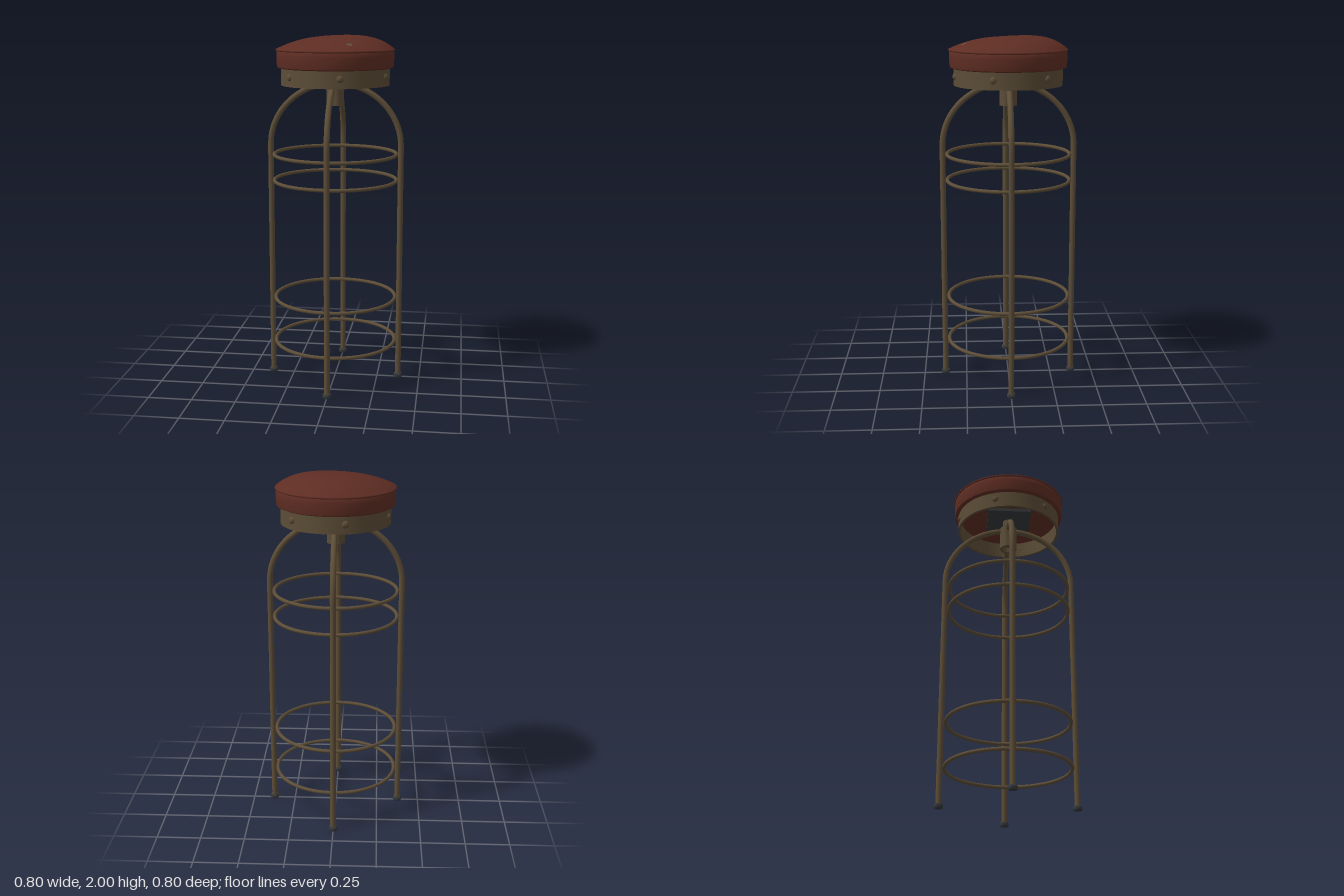
import * as THREE from 'three';
import { toCreasedNormals } from 'three/addons/utils/BufferGeometryUtils.js';

const material = (name, color) => {
  const m = new THREE.MeshStandardMaterial({ color });
  m.name = name;
  return m;
};

// Slightly lopsided top of the cushion
const R = 0.332;
function domeY(x, z) {
  const q = Math.min(1, Math.hypot(x, z) / R);
  return 1.926 + 0.07 * (1 - Math.pow(q, 3.2)) + (0.04 * x - 0.05 * z) * (1 - q ** 4);
}

export function createModel() {
  const stool = new THREE.Group();
  stool.name = 'barStool';
  const leather = material('brown red leather', 0x5e2d23);
  const metal = material('aged bronze metal', 0x5c4d37);
  const rubber = material('dark slate rubber', 0x35383a);

  const add = (name, geometry, mat, x = 0, y = 0, z = 0) => {
    const mesh = new THREE.Mesh(geometry, mat);
    mesh.name = name;
    mesh.position.set(x, y, z);
    stool.add(mesh);
    return mesh;
  };
  const lathe = (pairs, segments = 64) => toCreasedNormals(
    new THREE.LatheGeometry(pairs.map(([r, y]) => new THREE.Vector2(r, y)), segments), 0.6);
  // Hollow ring with square edges
  const sleeve = (inner, outer, low, high, segments) => lathe(
    [[inner, low], [outer, low], [outer, high], [inner, high], [inner, low]], segments);

  // Cushion: side wall, domed top and piping
  add('cushionSide', lathe([[0, 1.82], [0.312, 1.82], [0.326, 1.826], [0.329, 1.84],
    [0.331, 1.89], [0.329, 1.912], [0.322, 1.922]]), leather);
  const profile = [];
  for (let i = 0; i <= 24; i++) {
    profile.push(new THREE.Vector2(R * Math.cos((i / 24) * Math.PI / 2), 0));
  }
  const dome = new THREE.LatheGeometry(profile, 64);
  const p = dome.attributes.position;
  for (let i = 0; i < p.count; i++) p.setY(i, domeY(p.getX(i), p.getZ(i)));
  dome.computeVertexNormals();
  add('cushionTop', dome, leather);
  const piping = add('cushionPiping', new THREE.TorusGeometry(0.329, 0.006, 8, 64), leather, 0, 1.921, 0);
  piping.rotation.x = Math.PI / 2;

  // Worn patch draped over the top
  const patch = new THREE.CircleGeometry(0.017, 18);
  patch.rotateX(-Math.PI / 2);
  const q = patch.attributes.position;
  for (let i = 0; i < q.count; i++) {
    const s = i % 2 ? 1.1 : 0.9;
    const x = q.getX(i) * s + 0.107, z = q.getZ(i) * s + 0.246;
    q.setXYZ(i, x, domeY(x, z) + 0.003, z);
  }
  patch.computeVertexNormals();
  add('wornPatch', patch, metal);

  // Seat band with domed rivets
  add('seatBand', sleeve(0.292, 0.306, 1.725, 1.822, 64), metal);
  for (let i = 0; i < 6; i++) {
    const a = THREE.MathUtils.degToRad(12 + 60 * i);
    const rivet = add('rivet', new THREE.SphereGeometry(0.02, 16, 10), metal,
      0.304 * Math.sin(a), 1.777, 0.304 * Math.cos(a));
    rivet.rotation.y = a;
    rivet.scale.z = 0.7;
  }

  // Swivel under the seat
  add('mountPlate', new THREE.BoxGeometry(0.26, 0.02, 0.26), rubber, 0, 1.81, 0);
  add('swivelPost', new THREE.CylinderGeometry(0.034, 0.034, 0.17, 24), metal, 0, 1.725, 0);
  add('swivelSocket', sleeve(0.036, 0.05, 1.61, 1.75, 32), metal);

  // Four legs curving in to the socket
  const path = new THREE.CurvePath();
  path.add(new THREE.LineCurve3(new THREE.Vector3(0.375, 0.01, 0), new THREE.Vector3(0.375, 1.38, 0)));
  const arc = [];
  for (let i = 0; i <= 12; i++) {
    const t = (i / 12) * 1.5;
    arc.push(new THREE.Vector3(0.375 * Math.cos(t), 1.38 + 0.355 * Math.sin(t), 0));
  }
  path.add(new THREE.CatmullRomCurve3(arc));
  const legGeometry = new THREE.TubeGeometry(path, 80, 0.0165, 12);
  const footGeometry = lathe([[0, 0], [0.023, 0], [0.025, 0.004], [0.025, 0.018], [0.021, 0.024], [0, 0.024]], 20);
  for (let i = 0; i < 4; i++) {
    const a = i * Math.PI / 2;
    add('leg', legGeometry, metal).rotation.y = a;
    add('foot', footGeometry, rubber, 0.375 * Math.cos(a), 0, -0.375 * Math.sin(a));
  }

  // Foot rings and upper brace rings
  for (const y of [0.225, 0.488, 1.182, 1.332]) {
    add('braceRing', new THREE.TorusGeometry(0.35, 0.0105, 10, 72), metal, 0, y, 0)
      .rotation.x = Math.PI / 2;
  }
  return stool;
}
